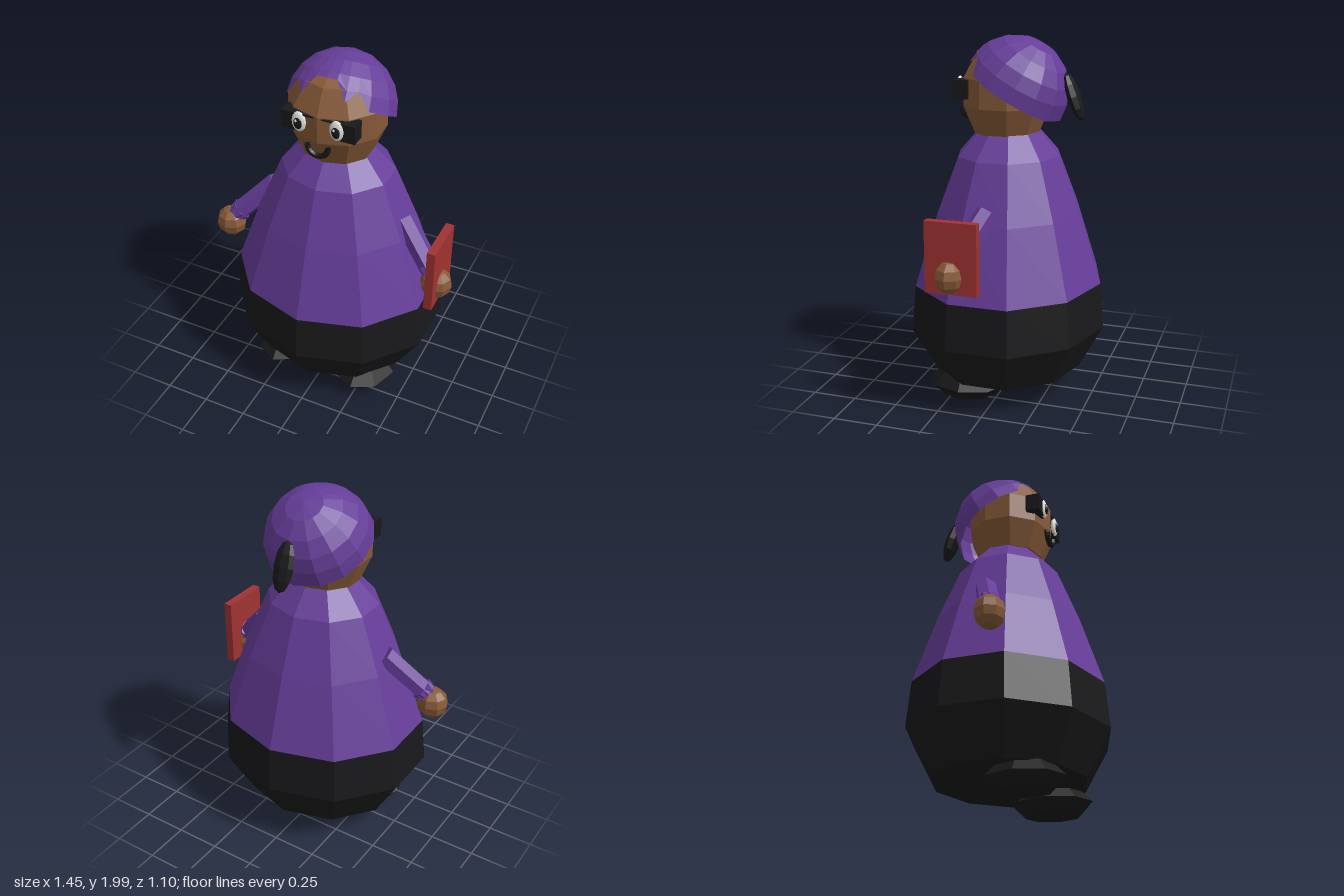
import * as THREE from 'three';

const mat = (color) => new THREE.MeshStandardMaterial({ color, flatShading: true, side: THREE.DoubleSide });
const purple = mat(0x663d99), black = mat(0x19191b), skin = mat(0x875a38);
const red = mat(0xa03232), white = mat(0xe6e6e2);
const rad = THREE.MathUtils.degToRad;

function add(parent, name, geometry, material, x = 0, y = 0, z = 0) {
  const mesh = new THREE.Mesh(geometry, material);
  mesh.name = name;
  mesh.position.set(x, y, z);
  parent.add(mesh);
  return mesh;
}

// ten-sided turned form from [radius, height] pairs
const turned = (pts) => new THREE.LatheGeometry(pts.map(([r, y]) => new THREE.Vector2(r, y)), 10);

// tapered rod from a to b
function rod(parent, name, a, b, ra, rb, material) {
  const dir = b.clone().sub(a);
  const mesh = add(parent, name, new THREE.CylinderGeometry(rb, ra, dir.length(), 6), material);
  mesh.position.copy(a).addScaledVector(dir, 0.5);
  mesh.quaternion.setFromUnitVectors(new THREE.Vector3(0, 1, 0), dir.normalize());
  return mesh;
}

// hemisphere of hair with a raised, jagged hairline at the front
function hairGeometry(radius) {
  const half = [[0, 65], [12, 65], [24, 85], [36, 72], [50, 89], [75, 90], [100, 90], [125, 91], [150, 92]];
  const edge = [...half, [180, 92], ...half.slice(1).reverse().map(([p, t]) => [360 - p, t]), [360, 65]];
  const rows = [0, 20, 40, 58, 74, 180];
  const pos = [], index = [];
  edge.forEach(([p, max]) => rows.forEach((t) => {
    const theta = rad(Math.min(t, max)), phi = rad(p);
    pos.push(radius * Math.sin(theta) * Math.sin(phi), radius * Math.cos(theta), radius * Math.sin(theta) * Math.cos(phi));
  }));
  for (let c = 0; c < edge.length - 1; c++) {
    for (let r = 0; r < rows.length - 1; r++) {
      const a = c * rows.length + r, b = a + rows.length;
      index.push(a, a + 1, b + 1, a, b + 1, b);
    }
  }
  const g = new THREE.BufferGeometry();
  g.setAttribute('position', new THREE.Float32BufferAttribute(pos, 3));
  g.setIndex(index);
  g.computeVertexNormals();
  return g;
}

export function createModel() {
  const model = new THREE.Group();
  model.name = 'figure';

  // clothed body
  add(model, 'trousers', turned([[0, 0.15], [0.463, 0.15], [0.613, 0.4], [0.588, 0.655]]), black).scale.z = 0.9;
  add(model, 'shirt', turned([[0.588, 0.655], [0.448, 1.05], [0.315, 1.36], [0.19, 1.49], [0, 1.49]]), purple).scale.z = 0.9;

  // head and hair
  add(model, 'head', turned([[0, 1.47], [0.195, 1.48], [0.262, 1.63], [0.262, 1.78], [0.185, 1.91], [0.08, 1.955], [0, 1.96]]),
    skin, 0, 0, 0.01).scale.z = 0.92;
  add(model, 'hair', hairGeometry(0.295), purple, 0, 1.706, -0.035).rotation.x = rad(-30);
  const tail = add(model, 'ponytail', new THREE.SphereGeometry(1, 8, 6), black, 0, 1.685, -0.36);
  tail.scale.set(0.06, 0.135, 0.038);
  tail.rotation.x = rad(20);

  // face
  add(model, 'glassesBridge', new THREE.BoxGeometry(0.22, 0.008, 0.012), black, 0, 1.771, 0.239);
  const smile = add(model, 'mouth', new THREE.TorusGeometry(0.058, 0.016, 6, 12, Math.PI), black, 0, 1.612, 0.245);
  smile.rotation.z = Math.PI;

  for (const s of [1, -1]) {
    const side = s > 0 ? 'left' : 'right';
    add(model, side + 'Lens', new THREE.BoxGeometry(0.115, 0.1, 0.08), black, s * 0.1475, 1.725, 0.205);
    const ball = new THREE.SphereGeometry(1, 14, 10);
    add(model, side + 'Eye', ball, white, s * 0.105, 1.728, 0.242).scale.set(0.04, 0.057, 0.018);
    add(model, side + 'Pupil', ball, black, s * 0.105, 1.724, 0.252).scale.set(0.025, 0.035, 0.013);
    add(model, side + 'EyeGlint', ball, white, s * 0.105 - 0.008, 1.738, 0.261).scale.set(0.007, 0.009, 0.005);

    // arm, cuff and hand
    const shoulder = new THREE.Vector3(s * 0.39, 1.115, 0), wrist = new THREE.Vector3(s * 0.6, 0.9, 0.1);
    rod(model, side + 'Arm', shoulder, wrist, 0.06, 0.058, purple);
    rod(model, side + 'Cuff', wrist.clone().lerp(shoulder, 0.12), wrist.clone().lerp(shoulder, -0.06), 0.064, 0.052, purple)
      .rotateY(rad(30));
    const hand = add(model, side + 'Hand', new THREE.SphereGeometry(1, 8, 6), skin, s * 0.635, 0.84, 0.113);
    hand.scale.set(0.09, 0.09, 0.083);

    // foot
    const foot = add(model, side + 'Foot', new THREE.SphereGeometry(1, 8, 4), black, s * 0.255, 0.095, 0.158);
    foot.scale.set(0.177, 0.093, 0.22);
  }

  // book held in the left hand
  add(model, 'book', new THREE.BoxGeometry(0.046, 0.38, 0.28), red, 0.638, 0.94, 0.1);

  return model;
}
